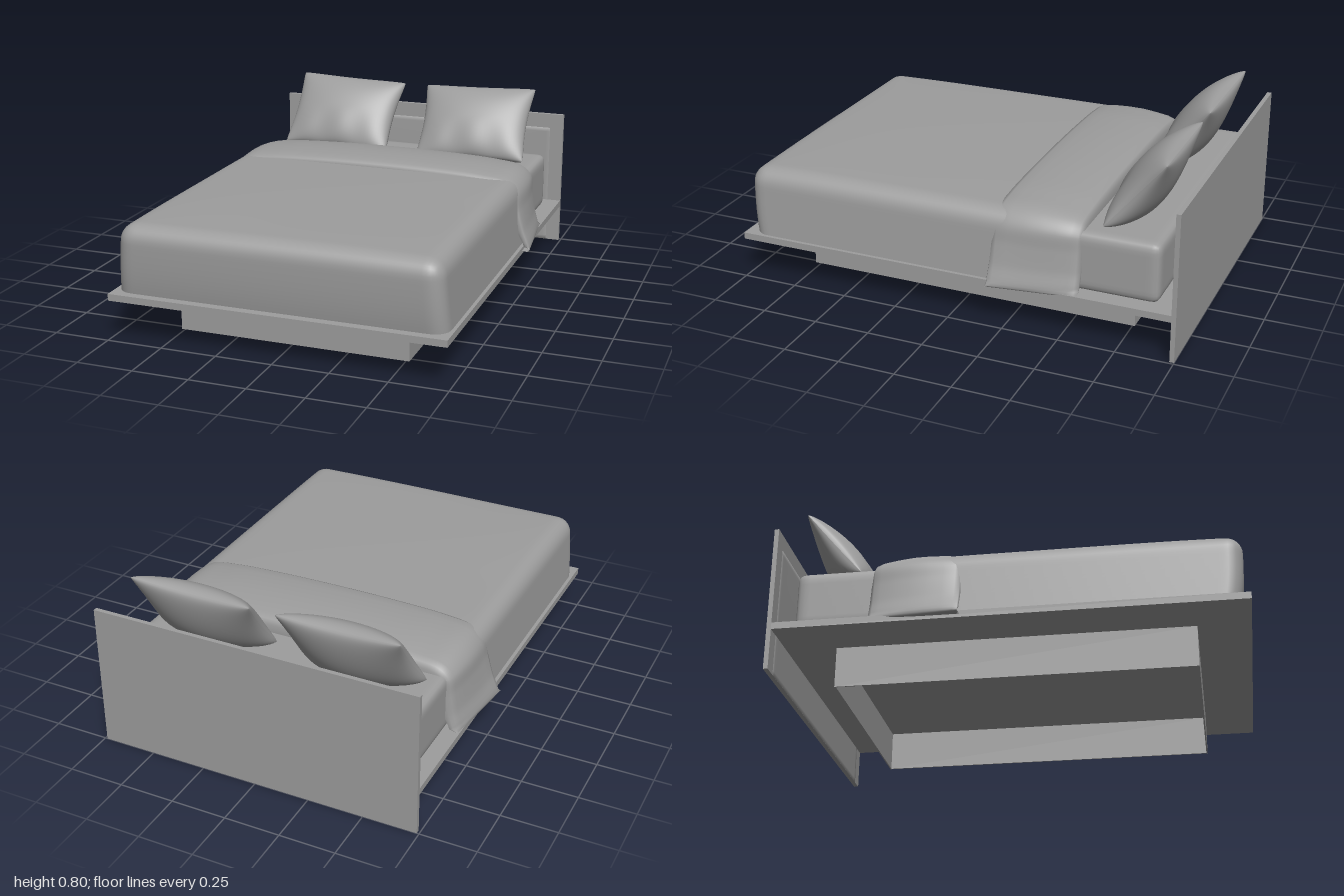
import * as THREE from 'three';
import { mergeVertices } from 'three/addons/utils/BufferGeometryUtils.js';

const grey = 0x9d9d9d;
const material = new THREE.MeshStandardMaterial({ color: grey });
const clothMaterial = new THREE.MeshStandardMaterial({ color: grey, side: THREE.DoubleSide });

function addMesh(parent, name, geometry, mat = material) {
  const mesh = new THREE.Mesh(geometry, mat);
  mesh.name = name;
  parent.add(mesh);
  return mesh;
}

// Box given by its lower and upper limits
function addBox(parent, name, [x0, y0, z0], [x1, y1, z1]) {
  const mesh = addMesh(parent, name, new THREE.BoxGeometry(x1 - x0, y1 - y0, z1 - z0));
  mesh.position.set((x0 + x1) / 2, (y0 + y1) / 2, (z0 + z1) / 2);
}

// Weld, apply a rule to every vertex, and smooth
function reshape(geometry, rule) {
  geometry.deleteAttribute('uv');
  geometry.deleteAttribute('normal');
  const g = mergeVertices(geometry, 1e-5);
  const pos = g.attributes.position;
  const p = new THREE.Vector3();
  for (let i = 0; i < pos.count; i++) {
    rule(p.fromBufferAttribute(pos, i));
    pos.setXYZ(i, p.x, p.y, p.z);
  }
  g.computeVertexNormals();
  return g;
}

// Rounded, subdivided box whose vertices can be bent by a further rule
function softBox(min, max, radius, rule = () => {}) {
  const lo = new THREE.Vector3(...min), hi = new THREE.Vector3(...max);
  const size = hi.clone().sub(lo);
  const n = size.toArray().map((s) => Math.ceil(s / 0.02));
  const g = new THREE.BoxGeometry(size.x, size.y, size.z, ...n);
  g.translate((lo.x + hi.x) / 2, (lo.y + hi.y) / 2, (lo.z + hi.z) / 2);
  lo.addScalar(radius);
  hi.subScalar(radius);
  const core = new THREE.Vector3();
  return reshape(g, (p) => {
    core.copy(p).clamp(lo, hi);
    p.sub(core).setLength(radius).add(core);
    rule(p);
  });
}

// Pillow: two bulging faces meeting in a pinched seam, fuller at the lower back
function pillowGeometry(width, height, front, back) {
  const g = new THREE.BoxGeometry(2, 2, 2, 36, 28, 1);
  return reshape(g, (p) => {
    const u = Math.sin(p.x * Math.PI / 2), v = Math.sin(p.y * Math.PI / 2);
    const bulge = Math.pow(Math.max(0, (1 - u * u) * (1 - v * v)), 0.45);
    const crease = 0.008 * Math.sin(u * 9 + 1) * Math.max(0, -v) * bulge;
    const corner = 1 - 0.02 * (u * v) ** 8;
    p.set(
      u * corner * width / 2 * (1 - 0.07 * (1 - v * v)) * (1 + 0.015 * v),
      v * corner * height / 2 * (1 - 0.06 * (1 - u * u)),
      p.z > 0 ? front * bulge * (1 + 0.12 * v) + crease : -back * bulge * (1 - 0.4 * v)
    );
  });
}

// Turned-down blanket: an arch over the bed, lofted along z with rolled ends
function foldGeometry() {
  const half = [[0, 0.553], [0.3, 0.549], [0.52, 0.538], [0.65, 0.516], [0.703, 0.464],
    [0.717, 0.38], [0.732, 0.29], [0.75, 0.197], [0.7, 0.197]];
  const all = [...half.slice(1).reverse().map(([x, y]) => [-x, y]), ...half];
  const curve = new THREE.CatmullRomCurve3(
    all.map(([x, y]) => new THREE.Vector3(x, y, 0)), false, 'centripetal');
  // [z, inset]
  const stations = [[-0.19, 0.06], [-0.185, 0.035], [-0.19, 0.016], [-0.21, 0.006], [-0.26, 0],
    [-0.33, -0.003], [-0.4, -0.002], [-0.47, 0.005], [-0.53, 0.014], [-0.56, 0.025],
    [-0.575, 0.045], [-0.573, 0.09]];
  const count = 100, vertices = [], index = [];
  stations.forEach(([z, inset], r) => {
    const back = (-0.19 - z) / 0.385;
    for (let i = 0; i <= count; i++) {
      const p = curve.getPoint(i / count), t = curve.getTangent(i / count);
      const low = THREE.MathUtils.clamp((0.46 - p.y) / 0.26, 0, 1);
      const flare = Math.sign(p.x) * low * (0.022 - 0.042 * back);
      const sideways = t.x > 0 ? t.y * inset * (1 - 0.6 * low) : 0;
      vertices.push(p.x + flare + sideways,
        p.y - Math.max(0, t.x) * inset * (1 - low) + 0.006 * back * low, z);
      if (r && i) {
        const a = (r - 1) * (count + 1) + i - 1, b = a + count + 1;
        index.push(a, a + 1, b, b, a + 1, b + 1);
      }
    }
  });
  const g = new THREE.BufferGeometry();
  g.setAttribute('position', new THREE.Float32BufferAttribute(vertices, 3));
  g.setIndex(index);
  g.computeVertexNormals();
  return g;
}

export function createModel() {
  const bed = new THREE.Group();
  bed.name = 'bed';

  // Frame: platform, headboard with a slightly padded panel
  addBox(bed, 'platform', [-0.74, 0.18, -0.98], [0.74, 0.21, 1]);
  addBox(bed, 'headboard', [-0.74, 0, -1], [0.74, 0.655, -0.98]);
  addMesh(bed, 'headboardPanel', softBox([-0.675, 0, -0.99], [0.675, 0.585, -0.979], 0.001, (p) => {
    if (p.z > -0.985) {
      p.z += 0.005 * Math.max(0, 1 - (p.x / 0.675) ** 2) * Math.max(0, 1 - ((p.y - 0.38) / 0.2) ** 2);
    }
  }));

  // Hollow plinth of four thin boards, open at the bottom
  const plinth = new THREE.Group();
  plinth.name = 'plinth';
  bed.add(plinth);
  const t = 0.006;
  for (const s of [-1, 1]) {
    const x = s * (0.515 - t / 2), z = 0.008 + s * (0.768 - t / 2);
    addBox(plinth, 'plinthSide', [x - t / 2, 0, -0.76], [x + t / 2, 0.18, 0.776]);
    addBox(plinth, 'plinthEnd', [-0.515 + t, 0, z - t / 2], [0.515 - t, 0.18, z + t / 2]);
  }

  // Mattress
  addMesh(bed, 'mattress', softBox([-0.675, 0.205, -0.905], [0.675, 0.47, 0.85], 0.035));

  // Duvet: crowned top, sides spreading toward the platform
  addMesh(bed, 'duvet', softBox([-0.7, 0.1, -0.4], [0.7, 0.508, 0.98], 0.07, (p) => {
    const top = THREE.MathUtils.clamp((p.y - 0.21) / 0.3, 0, 1);
    const across = Math.max(0, 1 - (p.x / 0.7) ** 2);
    const along = Math.max(0, 1 - ((p.z - 0.24) / 0.74) ** 4);
    p.x *= 1 + 0.035 * (1 - top);
    if (p.z > 0.85) p.z -= 0.018 * (1 - top) ** 3;
    p.y += top * (0.018 * along * Math.sqrt(across) + 0.002 * Math.sin(p.z * 7 + p.x * 3) * across);
    p.y = Math.max(p.y, 0.21);
  }));

  // Turned-down blanket
  addMesh(bed, 'blanketFold', foldGeometry(), clothMaterial);

  // Pillows leaning back against the headboard
  const pillow = pillowGeometry(0.555, 0.405, 0.085, 0.1);
  for (const s of [-1, 1]) {
    const mesh = addMesh(bed, s > 0 ? 'leftPillow' : 'rightPillow', pillow);
    mesh.position.set(s * 0.342, 0.632, -0.765);
    mesh.rotation.set(-0.7, 0, s * 0.035);
  }
  return bed;
}
